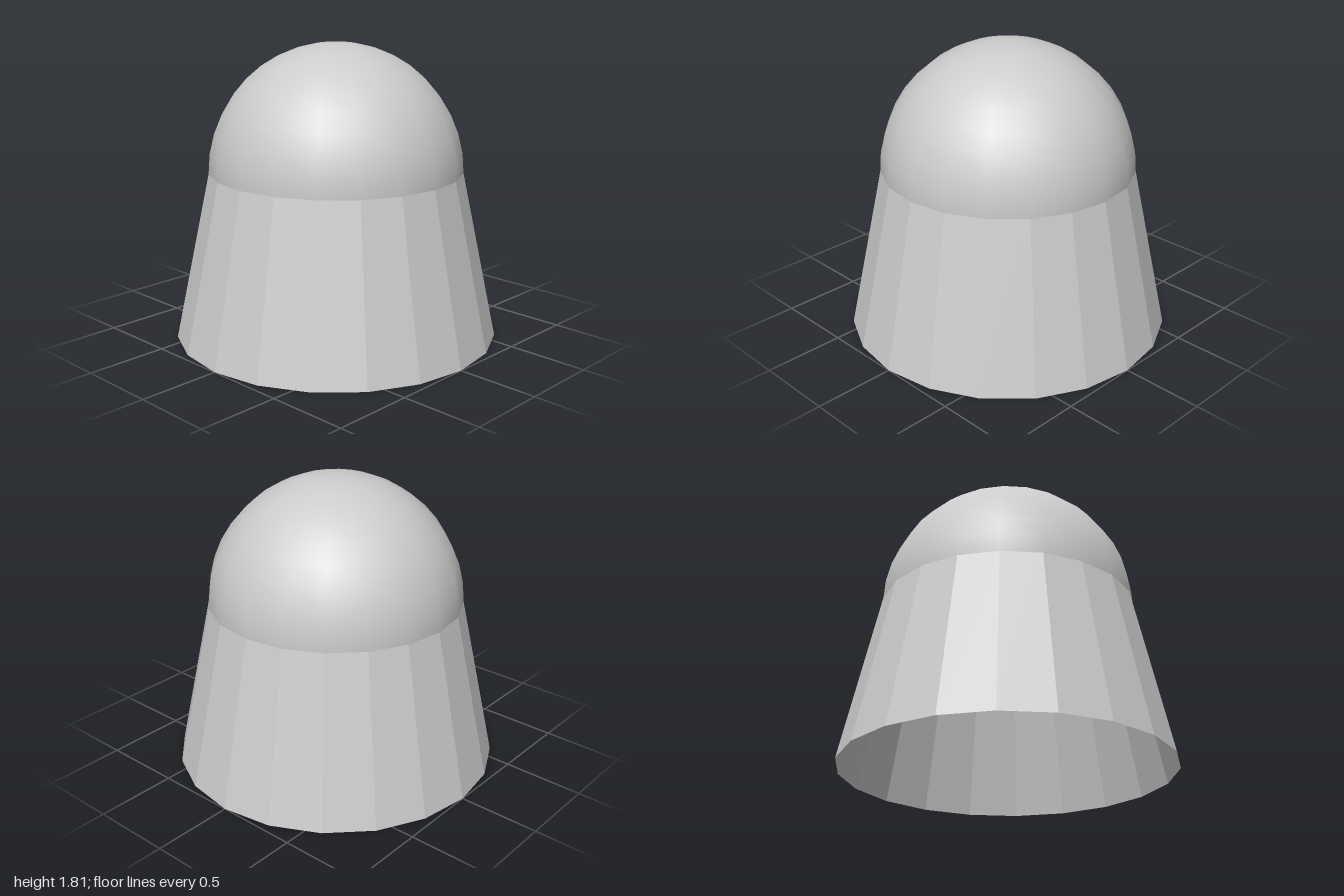
import * as THREE from 'three';

const SIDES = 20;
const BASE_RADIUS = 1;
const DOME_RADIUS = 0.78;
const WALL_HEIGHT = 1.03;

export function createModel() {
  const group = new THREE.Group();
  group.name = 'domedTower';

  // Faceted tapering wall, open at both ends
  const wall = new THREE.Mesh(
    new THREE.CylinderGeometry(DOME_RADIUS, BASE_RADIUS, WALL_HEIGHT, SIDES, 1, true),
    new THREE.MeshStandardMaterial({ color: 0xcccccc, flatShading: true, side: THREE.DoubleSide })
  );
  wall.name = 'taperedWall';
  wall.position.y = WALL_HEIGHT / 2;
  group.add(wall);

  // Smooth hemispherical roof resting on the wall's upper rim
  const dome = new THREE.Mesh(
    new THREE.SphereGeometry(DOME_RADIUS, SIDES, SIDES / 2, 0, Math.PI * 2, 0, Math.PI / 2),
    new THREE.MeshStandardMaterial({ color: 0xcccccc, side: THREE.DoubleSide })
  );
  dome.name = 'dome';
  dome.position.y = WALL_HEIGHT;
  group.add(dome);

  return group;
}
